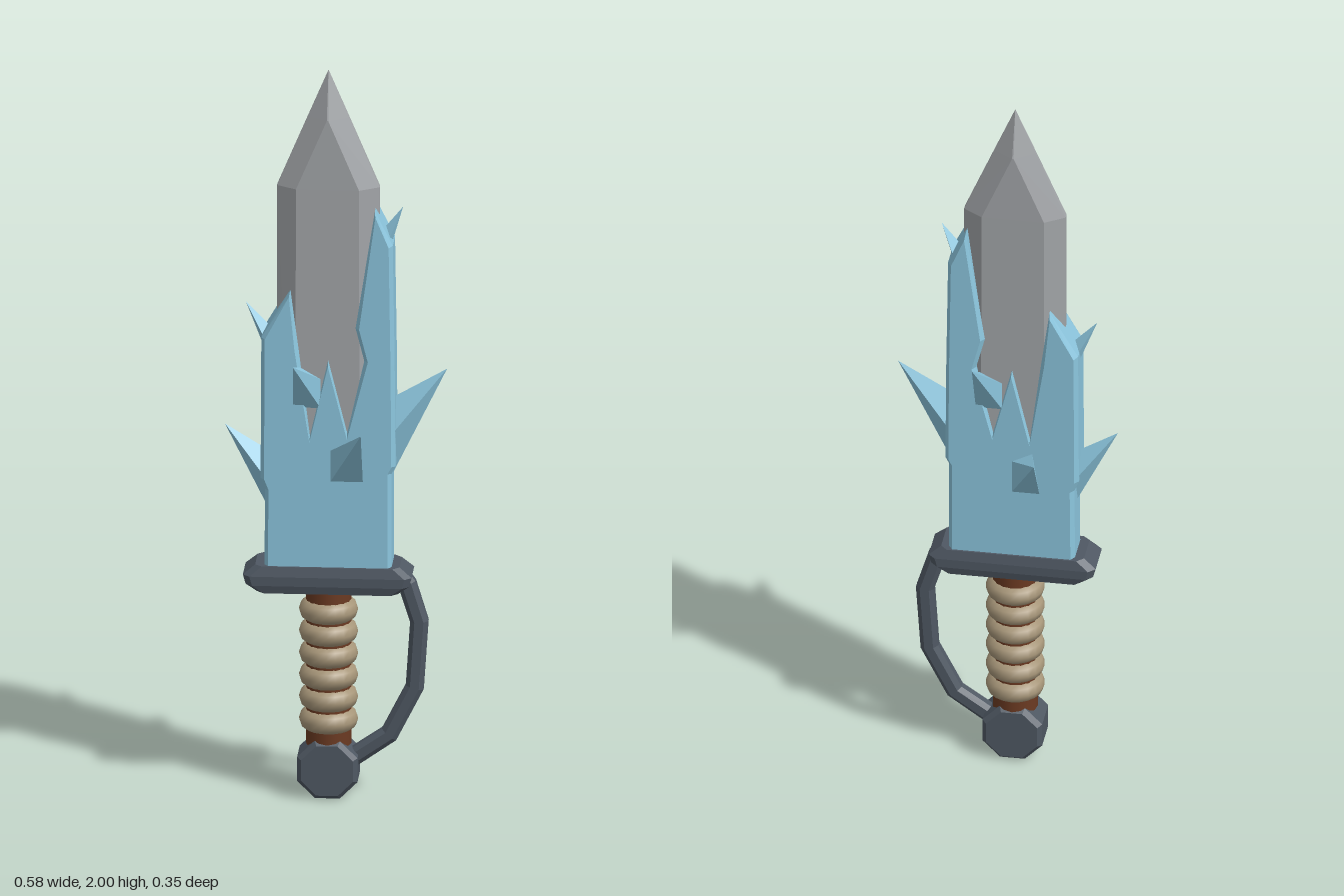
import * as THREE from 'three';
import { ConvexGeometry } from 'three/addons/geometries/ConvexGeometry.js';
import { mergeGeometries } from 'three/addons/utils/BufferGeometryUtils.js';

const material = (name, color) => {
  const m = new THREE.MeshStandardMaterial({ color });
  m.name = name;
  return m;
};
const CX = -0.022; // centre line of blade and grip

export function createModel() {
  const steel = material('blade steel', 0xa3a6a9);
  const ice = material('ice blue', 0x8cc6de);
  const iron = material('dark iron', 0x4f5863);
  const cord = material('tan cord', 0xa8977a);
  const leather = material('brown leather', 0x6b3a22);

  const group = new THREE.Group();
  const add = (name, geometry, mat, x = 0, y = 0, z = 0) => {
    const mesh = new THREE.Mesh(geometry, mat);
    mesh.name = name;
    mesh.position.set(x, y, z);
    group.add(mesh);
    return mesh;
  };
  const hull = (points) => new ConvexGeometry(points.map((p) => new THREE.Vector3(...p)));

  // Blade: bevelled hexagonal sections [y, edge x, flat x, flat z, edge z]
  const bladePoints = [[CX, 2, 0]];
  for (const [y, ex, fx, fz, ez] of [
    [0.6, 0.135, 0.085, 0.042, 0.008],
    [1.68, 0.135, 0.083, 0.042, 0.008],
    [1.87, 0.055, 0.002, 0.04, 0.004],
  ]) {
    for (const sx of [-1, 1]) for (const sz of [-1, 1]) {
      bladePoints.push([CX + sx * ex, y, sz * ez], [CX + sx * fx, y, sz * fz]);
    }
  }
  add('blade', hull(bladePoints), steel);

  // Ice crust with a jagged upper rim
  const rim = [
    [-0.188, 0.62], [0.147, 0.62], [0.147, 0.9], [0.157, 0.92], [0.155, 1.2], [0.15, 1.53],
    [0.103, 1.625], [0.052, 1.3], [0.075, 1.21], [0.03, 1.01], [-0.02, 1.21],
    [-0.068, 1.0], [-0.098, 1.24], [-0.12, 1.4], [-0.196, 1.27], [-0.198, 0.88], [-0.186, 0.85],
  ];
  add('iceCrust', new THREE.ExtrudeGeometry(
    new THREE.Shape(rim.map((p) => new THREE.Vector2(...p))),
    { depth: 0.084, bevelEnabled: true, bevelThickness: 0.015, bevelSize: 0.01, bevelOffset: -0.01, bevelSegments: 1 },
  ), ice, 0, 0, -0.042);

  // Shards from the two narrow sides: [tip x, tip y, base x, low y, high y, half depth]
  for (const [tx, ty, bx, low, high, d] of [
    [0.29, 1.18, 0.148, 0.89, 1.09, 0.045],
    [-0.295, 1.015, -0.188, 0.8, 0.94, 0.042],
    [-0.24, 1.355, -0.192, 1.23, 1.29, 0.024],
    [0.174, 1.625, 0.135, 1.49, 1.56, 0.03],
  ]) {
    const mid = low + (high - low) * 0.6;
    add('sideShard', hull([
      [tx, ty, 0], [bx, low, 0], [bx, mid, d], [bx, mid, -d], [bx - Math.sign(bx) * 0.015, high, 0],
    ]), ice);
  }

  // Shards from the broad faces: [tip x, y, z, base left, right, low, high]
  for (const [tx, ty, tz, x0, x1, y0, y1] of [
    [-0.105, 1.225, 0.155, -0.112, -0.04, 1.08, 1.19],
    [0.075, 1.045, 0.175, -0.018, 0.072, 0.87, 0.99],
    [0.068, 1.27, -0.157, 0.005, 0.075, 1.09, 1.2],
    [-0.1, 1.0, -0.177, -0.095, -0.018, 0.83, 0.96],
  ]) {
    const s = Math.sign(tz) * 0.05;
    const slant = tx < (x0 + x1) / 2 ? 1 : -1;
    add('faceShard', hull([
      [tx, ty, tz], [x0, y0, s], [x1, y0, s],
      [x1 - (slant < 0 ? 0.01 : 0), y1 - 0.03 * (slant > 0), s],
      [x0 + (slant > 0 ? 0.02 : 0), y1 - 0.03 * (slant < 0), s],
    ]), ice);
  }

  // Cross guard: corner-cut bar, widest at mid height
  const guardPoints = [];
  for (const [y, hx, hz] of [[0.568, 0.185, 0.062], [0.59, 0.215, 0.068], [0.615, 0.222, 0.068], [0.642, 0.19, 0.062]]) {
    for (const sx of [-1, 1]) for (const sz of [-1, 1]) {
      guardPoints.push([CX + sx * hx, y, sz * (hz - 0.018)], [CX + sx * (hx - 0.018), y, sz * hz]);
    }
  }
  add('crossGuard', hull(guardPoints), iron);

  // Grip core and cord rings
  add('gripCore', new THREE.CylinderGeometry(0.06, 0.06, 0.44, 16), leather, CX, 0.36, 0);
  for (let i = 0; i < 6; i++) {
    const ring = add('cordRing', new THREE.TorusGeometry(0.047, 0.031, 10, 20), cord, CX, 0.208 + i * 0.0605, 0);
    ring.rotation.x = Math.PI / 2;
  }

  // Pommel: octagonal block with bevelled faces
  const pommelPoints = [];
  for (const [r, z] of [[0.074, 0.062], [0.086, 0.048], [0.086, -0.048], [0.074, -0.062]]) {
    for (let i = 0; i < 8; i++) {
      const a = (i + 0.5) * Math.PI / 4;
      pommelPoints.push([CX + r * Math.cos(a), 0.08 + r * Math.sin(a), z]);
    }
  }
  add('pommel', hull(pommelPoints), iron);

  // Knuckle bow: mitred octagonal bar following a bent path
  const path = [[0.165, 0.61], [0.185, 0.585], [0.217, 0.482], [0.205, 0.3], [0.138, 0.168], [0.04, 0.1]]
    .map((p) => new THREE.Vector2(...p));
  const sections = path.map((p, i) => {
    const dir = path[Math.min(i + 1, path.length - 1)].clone().sub(path[Math.max(i - 1, 0)]).normalize();
    const points = [];
    for (const [n, z] of [[0.024, 0.01], [0.012, 0.021]]) {
      for (const sn of [-1, 1]) for (const sz of [-1, 1]) {
        points.push([p.x - dir.y * n * sn, p.y + dir.x * n * sn, z * sz]);
      }
    }
    return points;
  });
  const bars = sections.slice(1).map((s, i) => hull([...sections[i], ...s]));
  add('knuckleBow', mergeGeometries(bars), iron);

  return group;
}
